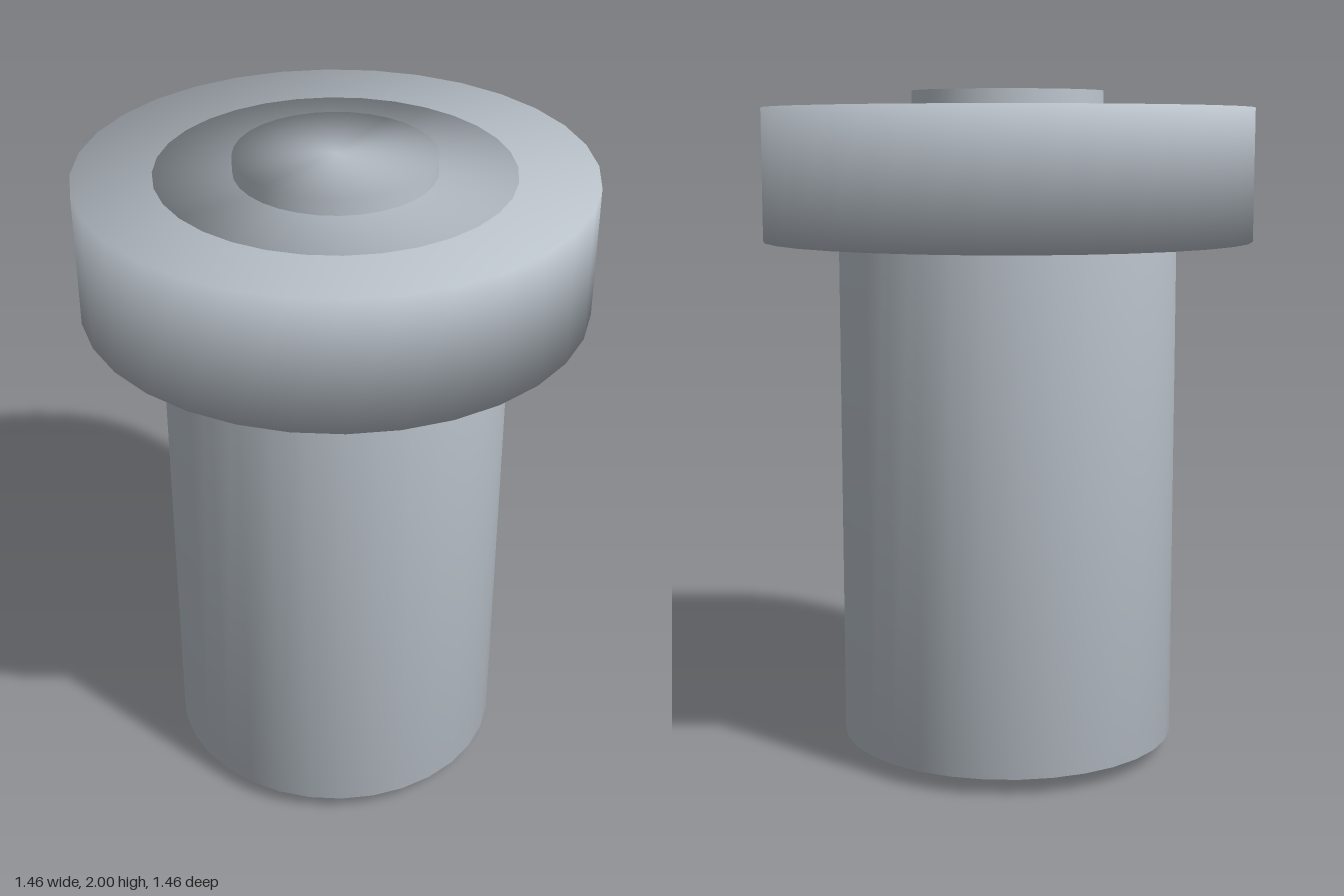
import * as THREE from 'three';
import { mergeVertices } from 'three/addons/utils/BufferGeometryUtils.js';

const steel = new THREE.MeshStandardMaterial({ color: 0xb8c0c8 });
steel.name = 'steel grey';

// Closed 32-sided disc or rod, shaded smoothly over its rims
function rod(name, radius, bottom, top) {
  let geometry = new THREE.CylinderGeometry(radius, radius, top - bottom, 32);
  geometry.deleteAttribute('uv');
  geometry.deleteAttribute('normal');
  geometry = mergeVertices(geometry);
  geometry.computeVertexNormals();
  const mesh = new THREE.Mesh(geometry, steel);
  mesh.name = name;
  mesh.position.y = (bottom + top) / 2;
  return mesh;
}

export function createModel() {
  const group = new THREE.Group();
  group.name = 'flangedBushing';
  group.add(
    rod('corePin', 0.285, 0, 2),
    // The shaft end stands just proud of the flange so the faces never coincide
    rod('shaft', 0.505, 0.05, 1.952),
    rod('flange', 0.73, 1.56, 1.95),
  );
  return group;
}
